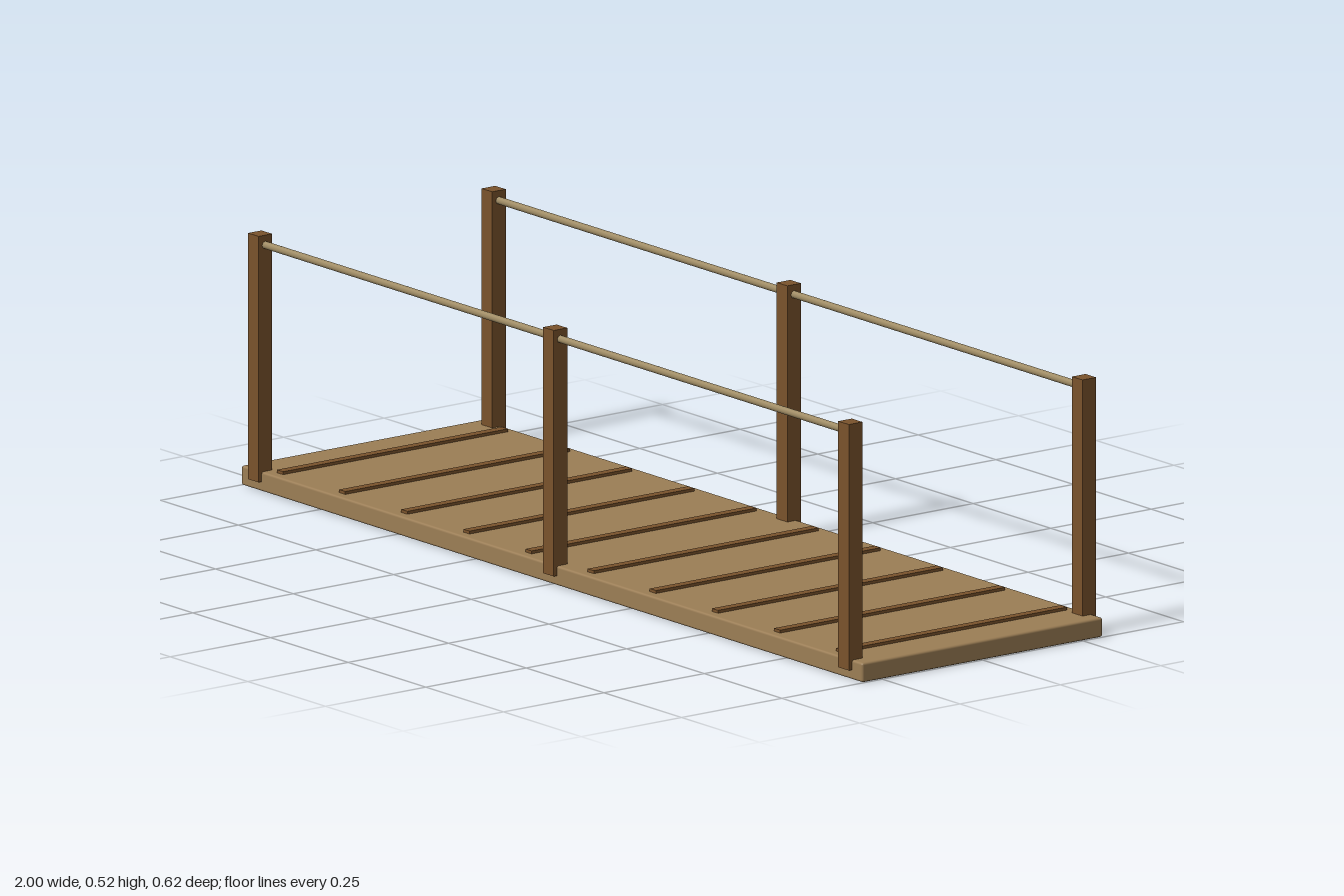
import * as THREE from 'three';
import { RoundedBoxGeometry } from 'three/addons/geometries/RoundedBoxGeometry.js';

export function createModel() {
  const group = new THREE.Group();
  group.name = 'footbridge';

  const plankWood = new THREE.MeshStandardMaterial({ color: 0x9c7e55 });
  plankWood.name = 'plank wood';
  const darkWood = new THREE.MeshStandardMaterial({ color: 0x7a532c });
  darkWood.name = 'dark wood';
  const rope = new THREE.MeshStandardMaterial({ color: 0xa08c64 });
  rope.name = 'rope';

  const add = (name, geometry, material, x, y, z) => {
    const mesh = new THREE.Mesh(geometry, material);
    mesh.name = name;
    mesh.position.set(x, y, z);
    group.add(mesh);
    return mesh;
  };

  // Deck slab with softened edges
  add('deck', new RoundedBoxGeometry(2, 0.04, 0.6, 1, 0.005), plankWood, 0, 0.02, 0);

  // Raised cross battens along the deck
  const batten = new THREE.BoxGeometry(0.02, 0.01, 0.56);
  for (let i = 0; i < 10; i++) {
    add('batten', batten, darkWood, -0.9 + i * 0.2, 0.041, 0);
  }

  // Posts and handrail on each side
  const post = new THREE.BoxGeometry(0.034, 0.5, 0.034);
  const rail = new THREE.CylinderGeometry(0.008, 0.008, 1.9, 8).rotateZ(Math.PI / 2);
  for (const z of [0.291, -0.291]) {
    for (const x of [-0.95, 0, 0.95]) add('post', post, darkWood, x, 0.27, z);
    add('handrail', rail, rope, 0, 0.5, z);
  }
  return group;
}
